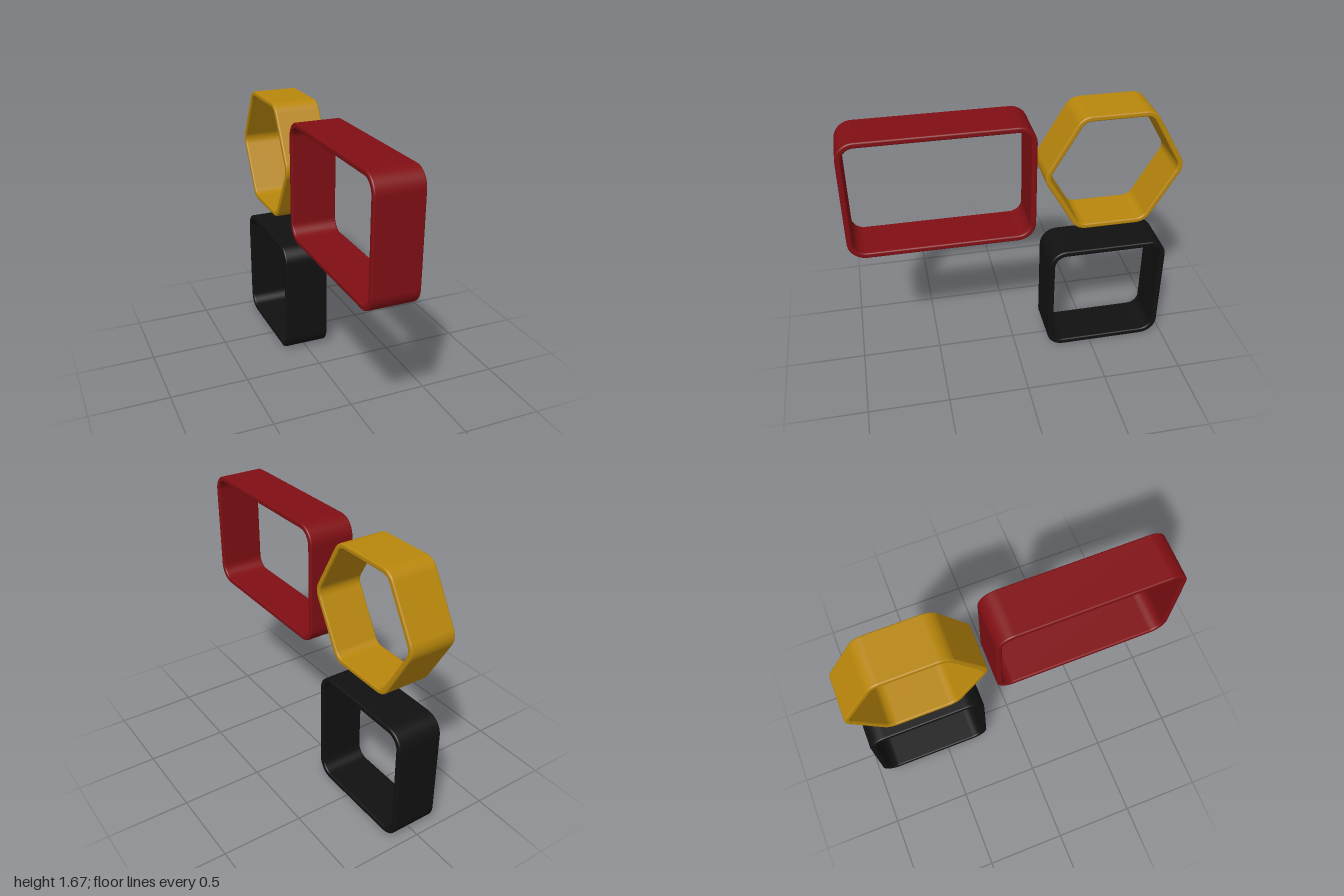
import * as THREE from 'three';

const HALF_WIDTH = 0.145; // half the band width along x
const EDGE = 0.01;        // small rounding of the band's rims
const ARC_STEPS = 14;
const EDGE_STEPS = 4;

// Closed loop of points with normals: an arc of the given radius round each corner centre.
function roundedLoop(corners, radius, steps) {
  const loop = [];
  const sweep = (Math.PI * 2) / corners.length;
  for (const [cx, cy, angle] of corners) {
    for (let i = 0; i <= steps; i++) {
      const a = angle + sweep * (i / steps - 0.5);
      const nx = Math.cos(a), ny = Math.sin(a);
      loop.push({ x: cx + radius * nx, y: cy + radius * ny, nx, ny });
    }
  }
  return loop;
}

// Corner centres (counter-clockwise) with the direction each corner points in.
function rectCorners(w, h, r) {
  const a = w / 2 - r, b = h / 2 - r, q = Math.PI / 4;
  return [[a, b, q], [-a, b, 3 * q], [-a, -b, 5 * q], [a, -b, 7 * q]];
}

function hexCorners(height, r) {
  const reach = (height / 2 - r) * 2 / Math.sqrt(3);
  return Array.from({ length: 6 }, (_, i) => {
    const a = i * Math.PI / 3;
    return [reach * Math.cos(a), reach * Math.sin(a), a];
  });
}

// Sweeps a rim-rounded rectangular section round an outline lying in the z-y plane.
function bandGeometry(corners, radius, thickness) {
  const path = roundedLoop(corners, radius, ARC_STEPS);
  const section = roundedLoop(rectCorners(HALF_WIDTH * 2, thickness, EDGE), EDGE, EDGE_STEPS);
  const positions = [], normals = [], indices = [];
  const n = path.length, m = section.length;
  path.forEach((p, i) => {
    section.forEach((s, j) => {
      const d = s.y - thickness / 2;
      positions.push(s.x, p.y + p.ny * d, p.x + p.nx * d);
      normals.push(s.nx, p.ny * s.ny, p.nx * s.ny);
      const i2 = (i + 1) % n, j2 = (j + 1) % m;
      const a = i * m + j, b = i2 * m + j, c = i2 * m + j2, e = i * m + j2;
      indices.push(a, b, c, a, c, e);
    });
  });
  const geometry = new THREE.BufferGeometry();
  geometry.setAttribute('position', new THREE.Float32BufferAttribute(positions, 3));
  geometry.setAttribute('normal', new THREE.Float32BufferAttribute(normals, 3));
  geometry.setIndex(indices);
  return geometry;
}

export function createModel() {
  const group = new THREE.Group();

  const addBand = (name, color, corners, radius, thickness, y, z) => {
    const material = new THREE.MeshStandardMaterial({ color });
    const mesh = new THREE.Mesh(bandGeometry(corners, radius, thickness), material);
    mesh.name = name;
    mesh.position.set(0, y, z);
    group.add(mesh);
  };

  // Wide rectangular band at the front, upper level
  addBand('rectangularBand', 0x800f14, rectCorners(1.115, 0.755, 0.11), 0.11, 0.034, 1.268, 0.443);
  // Hexagonal band at the back, upper level
  addBand('hexagonalBand', 0xb8860b, hexCorners(0.748, 0.1), 0.1, 0.032, 1.298, -0.583);
  // Square band at the back, standing on the ground
  addBand('squareBand', 0x111111, rectCorners(0.758, 0.758, 0.11), 0.11, 0.036, 0.379, -0.586);

  return group;
}
